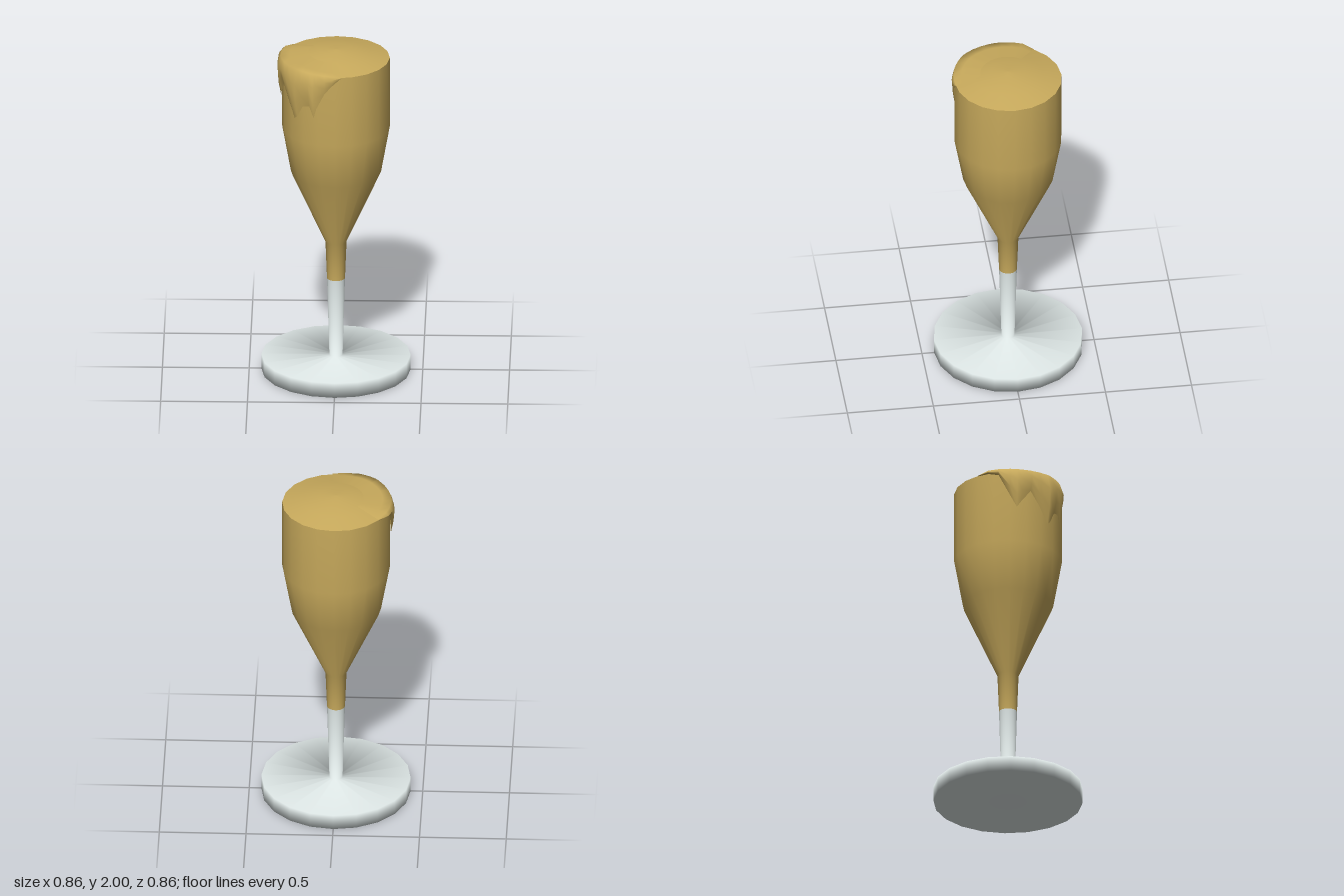
import * as THREE from 'three';

const SIDES = 20;

const gold = new THREE.MeshStandardMaterial({ color: 0xc8aa5c, side: THREE.DoubleSide });
gold.name = 'golden drink';
const glass = new THREE.MeshStandardMaterial({ color: 0xdde6e5, side: THREE.DoubleSide });
glass.name = 'pale glass';

// Smooth turned part from [radius, height] pairs, listed bottom to top
function turned(name, points, material) {
  const profile = points.map(([r, y]) => new THREE.Vector2(r, y));
  const mesh = new THREE.Mesh(new THREE.LatheGeometry(profile, SIDES), material);
  mesh.name = name;
  return mesh;
}

// Overflow: [degrees from front towards the right side, lower edge, bulge]
const DRIP = [
  [-6, 1.945, 0.003], [3, 1.9, 0.008], [11, 1.85, 0.014], [20, 1.75, 0.02],
  [23, 1.69, 0.024], [28, 1.76, 0.026], [36, 1.75, 0.03], [43, 1.68, 0.033],
  [47, 1.66, 0.033], [58, 1.76, 0.03], [68, 1.84, 0.028], [78, 1.77, 0.027],
  [83, 1.73, 0.027], [90, 1.8, 0.027], [102, 1.93, 0.026], [113, 1.945, 0.024],
  [126, 1.948, 0.002],
];

function overflow() {
  const positions = [], index = [];
  const rows = 6;
  DRIP.forEach(([deg, low, bulge], i) => {
    const a = THREE.MathUtils.degToRad(deg);
    const lift = bulge * 0.6;
    // section runs over the rim and down the outside of the bowl
    const section = [
      [0.16, 1.984],
      [0.27, 1.961 + lift * 0.7],
      [0.308 + bulge * 0.4, 1.952 + lift],
      [0.311 + bulge, THREE.MathUtils.lerp(1.952, low, 0.25)],
      [0.311 + bulge * 0.8, THREE.MathUtils.lerp(1.952, low, 0.65)],
      [0.309 + bulge * 0.3, low],
    ];
    section.forEach(([r, y], j) => {
      positions.push(-r * Math.sin(a), y, r * Math.cos(a));
      if (i > 0 && j > 0) {
        const d = i * rows + j, c = d - 1, b = d - rows, e = b - 1;
        index.push(e, b, c, c, b, d);
      }
    });
  });
  const geometry = new THREE.BufferGeometry();
  geometry.setAttribute('position', new THREE.Float32BufferAttribute(positions, 3));
  // columns run clockwise seen from above, so flip the corners outward
  for (let k = 0; k < index.length; k += 3) [index[k], index[k + 1]] = [index[k + 1], index[k]];
  geometry.setIndex(index);
  geometry.computeVertexNormals();
  const mesh = new THREE.Mesh(geometry, gold);
  mesh.name = 'overflow';
  return mesh;
}

export function createModel() {
  const group = new THREE.Group();
  group.name = 'flute glass';
  group.add(
    // flat foot rounded into the lower stem
    turned('footAndStem', [[0, 0], [0.43, 0], [0.43, 0.09], [0.038, 0.09], [0.052, 0.57]], glass),
    // filled upper stem and bowl
    turned('bowl', [[0.052, 0.57], [0.061, 0.8], [0.26, 1.24], [0.31, 1.52], [0.31, 1.95]], gold),
    // domed surface of the drink
    turned('drinkSurface', [[0.31, 1.95], [0.2, 1.975], [0.1, 1.994], [0, 2]], gold),
    overflow(),
  );
  return group;
}
